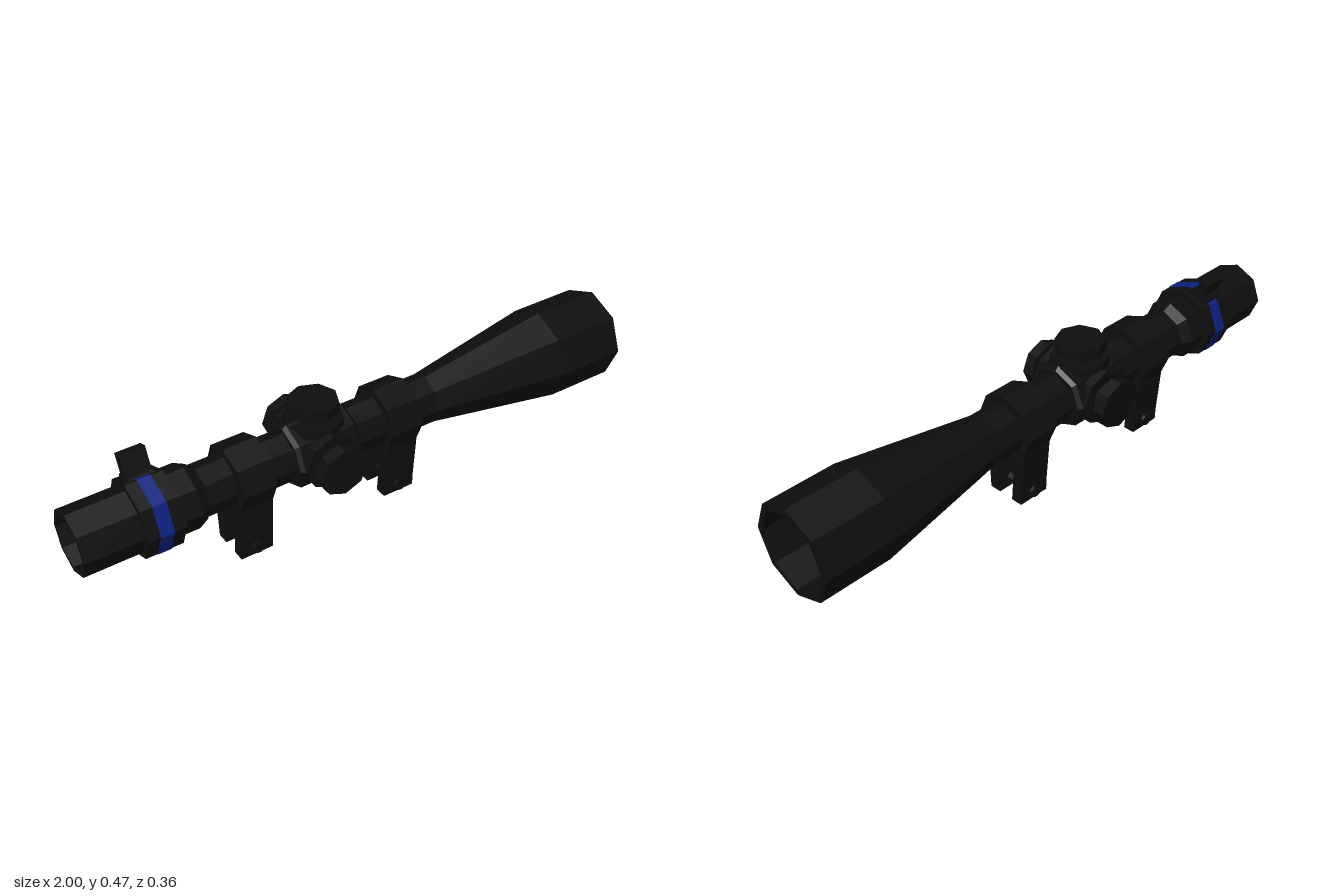
import * as THREE from 'three';

const AXIS = 0.28; // height of the optical axis
const SIDES = 8;

const black = new THREE.MeshStandardMaterial({ color: 0x0e0e0e });
black.name = 'matte black';
const blue = new THREE.MeshStandardMaterial({ color: 0x0c2080 });
blue.name = 'band blue';
const glass = new THREE.MeshStandardMaterial({ color: 0x32464f });
glass.name = 'lens grey blue';

// Faceted mesh with hard edges
function part(name, geometry, material, parent) {
  const g = geometry.index ? geometry.toNonIndexed() : geometry;
  g.computeVertexNormals();
  const mesh = new THREE.Mesh(g, material);
  mesh.name = name;
  parent.add(mesh);
  return mesh;
}

// Eight-sided solid turned about the x axis from [x, radius] pairs
function turned(profile) {
  const pts = profile.map(([x, r]) => new THREE.Vector2(r, x));
  return new THREE.LatheGeometry(pts, SIDES).rotateZ(-Math.PI / 2);
}

// Eight-sided upright drum between two heights
function drum(r, y0, y1) {
  return new THREE.CylinderGeometry(r, r, y1 - y0, SIDES).translate(0, (y0 + y1) / 2, 0);
}

// Turret knob pointing along +y from the axis
function turret(name) {
  const g = new THREE.Group();
  g.name = name;
  part('turretBoss', drum(0.098, 0.05, 0.111), black, g);
  part('turretStem', drum(0.055, 0.1, 0.14), black, g);
  part('turretCap', drum(0.084, 0.134, 0.172), black, g);
  return g;
}

// Clamp ring with two splayed legs and a cross bolt
function mount(name, x) {
  const g = new THREE.Group();
  g.name = name;
  g.position.x = x;
  const w = 0.058;
  const ring = part('clampRing', turned([[-w, 0.08], [-w, 0.115], [w, 0.115], [w, 0.08]]), black, g);
  ring.position.y = AXIS;
  for (const s of [-1, 1]) {
    const shape = new THREE.Shape([
      [0.028, 0], [0.07, 0], [0.072, 0.05], [0.086, 0.215], [0.044, 0.215], [0.032, 0.05],
    ].map(([z, y]) => new THREE.Vector2(z * s, y)));
    const leg = new THREE.ExtrudeGeometry(shape, { depth: w * 2, bevelEnabled: false });
    leg.translate(0, 0, -w).rotateY(-Math.PI / 2);
    part(s > 0 ? 'frontLeg' : 'backLeg', leg, black, g);
  }
  const bolt = new THREE.CylinderGeometry(0.022, 0.022, 0.166, SIDES);
  bolt.rotateY(Math.PI / SIDES).rotateX(Math.PI / 2).translate(0, 0.031, 0);
  part('crossBolt', bolt, black, g);
  return g;
}

// Crosshair bars and graduation ticks lying on the lens
function reticle(x) {
  const g = new THREE.Group();
  g.name = 'reticle';
  g.position.x = x;
  const bar = (name, y, z, h, d) =>
    part(name, new THREE.BoxGeometry(0.004, h, d).translate(0, y, z), black, g);
  for (const s of [-1, 1]) {
    bar('verticalHair', s * 0.05, 0, 0.07, 0.003);
    bar('horizontalHair', 0, s * 0.05, 0.003, 0.07);
    bar('verticalPost', s * 0.075, 0, 0.02, 0.006);
    bar('horizontalPost', 0, s * 0.075, 0.006, 0.02);
    for (let i = 0; i < 5; i++) {
      const d = s * (0.02 + i * 0.0112);
      bar('verticalTick', d, 0, 0.003, 0.014);
      bar('horizontalTick', 0, d, 0.014, 0.003);
    }
  }
  bar('centreDot', 0, 0, 0.005, 0.005);
  return g;
}

export function createModel() {
  const model = new THREE.Group();
  model.name = 'riflescope';

  // Everything turned about the optical axis
  const optics = new THREE.Group();
  optics.name = 'optics';
  optics.position.y = AXIS;
  model.add(optics);

  // Hollow body: outer skin forward, then bore back
  part('body', turned([
    [-1, 0.107], [-0.81, 0.107], [-0.81, 0.128], [-0.685, 0.128], [-0.685, 0.107],
    [-0.62, 0.107], [-0.585, 0.09], [-0.585, 0.085], [0.27, 0.085], [0.75, 0.16],
    [1, 0.16], [1, 0.138], [0.75, 0.138], [0.27, 0.081], [-0.9, 0.081],
    [-0.9, 0.092], [-1, 0.092], [-1, 0.107],
  ]), black, optics);

  part('blueBand', turned([
    [-0.77, 0.126], [-0.77, 0.13], [-0.725, 0.13], [-0.725, 0.126],
  ]), blue, optics);

  // Lens and crosshair inside the eyepiece
  part('lens', turned([[-0.933, 0], [-0.933, 0.0915], [-0.927, 0.0915], [-0.927, 0]].map(
    ([x, r]) => [x, Math.max(r, 0.00001)])), glass, optics);
  optics.add(reticle(-0.927));

  // Zoom lever standing on one facet of the ring
  const lever = new THREE.Shape([
    [-0.04, 0.105], [0.04, 0.105], [0.036, 0.128], [0.018, 0.138],
    [0.018, 0.2], [-0.018, 0.2], [-0.018, 0.138], [-0.036, 0.128],
  ].map(([z, y]) => new THREE.Vector2(z, y)));
  const leverGeo = new THREE.ExtrudeGeometry(lever, { depth: 0.084, bevelEnabled: false });
  leverGeo.translate(0, 0, -0.042).rotateY(-Math.PI / 2).rotateX(-Math.PI / 8).translate(-0.748, 0, 0);
  part('zoomLever', leverGeo, black, optics);

  // Turret housing with chamfered ends
  part('turretHousing', turned([
    [-0.278, 0.08], [-0.278, 0.102], [-0.265, 0.114], [-0.062, 0.114], [-0.049, 0.102], [-0.049, 0.08],
  ]), black, optics);
  [['topTurret', 0], ['frontTurret', Math.PI / 2], ['backTurret', -Math.PI / 2]].forEach(([name, a]) => {
    const t = turret(name);
    t.position.x = -0.164;
    t.rotation.x = a;
    if (a !== 0) t.scale.y = 1.045;
    optics.add(t);
  });

  model.add(mount('rearMount', -0.428), mount('forwardMount', 0.122));
  return model;
}
